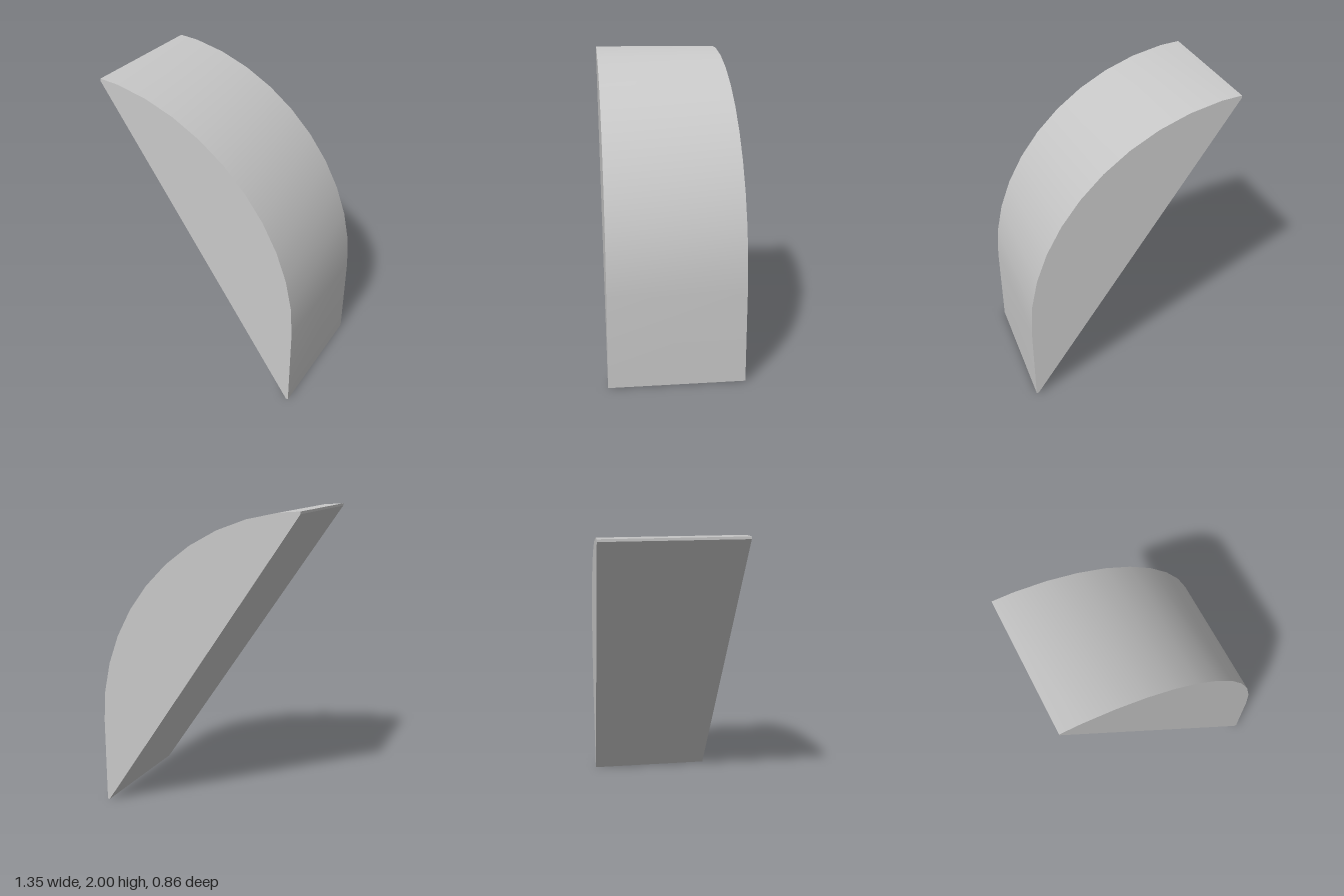
import * as THREE from 'three';
import { toCreasedNormals } from 'three/addons/utils/BufferGeometryUtils.js';

export function createModel() {
  const group = new THREE.Group();
  group.name = 'archedWedge';
  const grey = new THREE.MeshStandardMaterial({ color: 0xc8c8c8 });
  grey.name = 'light grey';

  const depth = 0.856, edge = 0.675;
  const radius = 1.425, centreX = edge - radius, centreY = 0.58, steps = 11;

  // Straight outer side, then a faceted quarter arc, closed by the sloping cut
  const points = [new THREE.Vector2(0.66, 0), new THREE.Vector2(edge, 0)];
  for (let i = 0; i < steps; i++) {
    const a = (i / steps) * Math.PI / 2;
    points.push(new THREE.Vector2(centreX + radius * Math.cos(a), centreY + radius * Math.sin(a)));
  }
  points.push(new THREE.Vector2(-edge, 2), new THREE.Vector2(-edge, 1.985));

  const solid = new THREE.ExtrudeGeometry(new THREE.Shape(points), { depth, bevelEnabled: false });
  solid.translate(0, 0, -depth / 2);

  // Smooth along the arc, sharp at the cut and the end faces
  const block = new THREE.Mesh(toCreasedNormals(solid, 0.4), grey);
  block.name = 'curvedBlock';
  group.add(block);
  return group;
}
